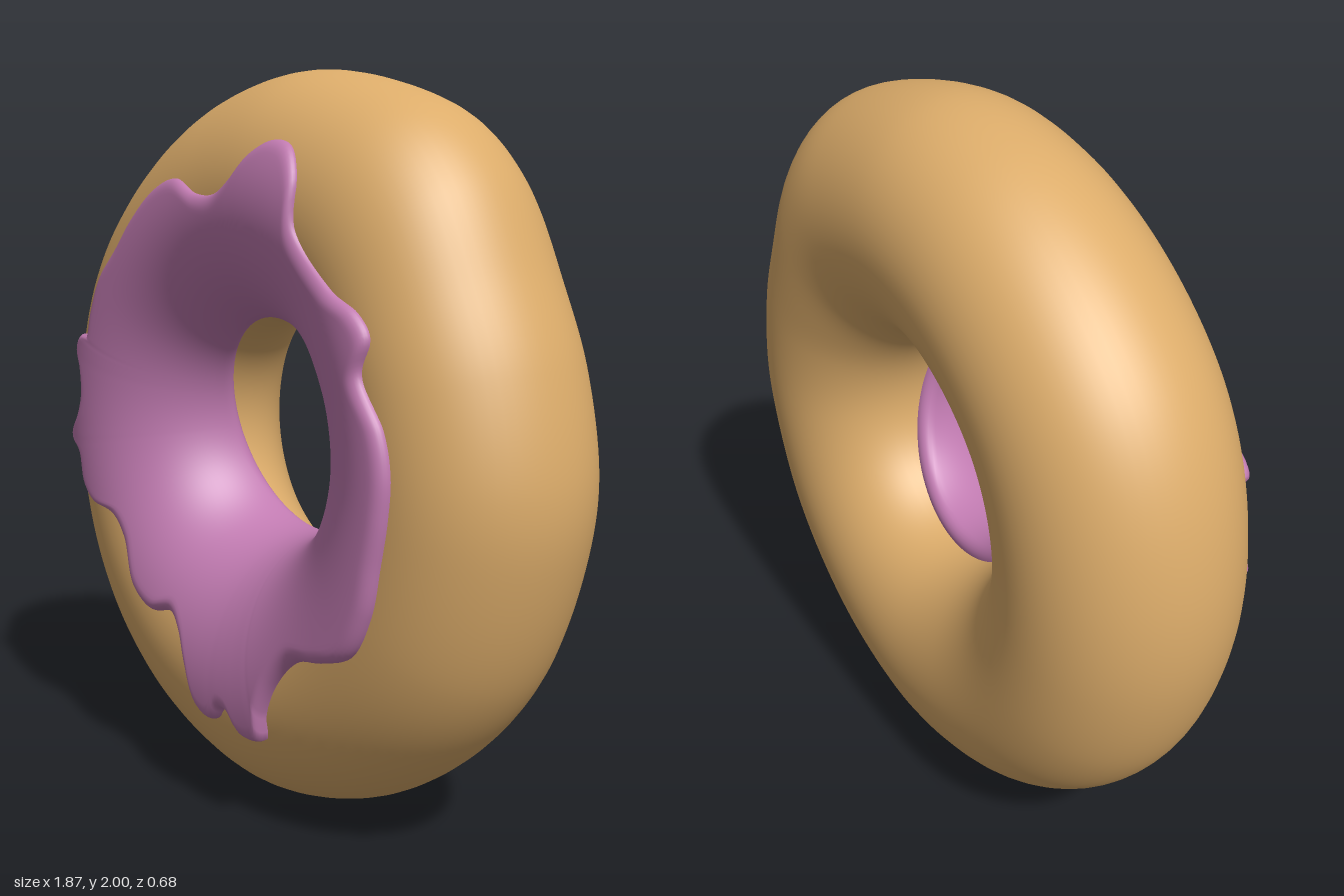
import * as THREE from 'three';

const CY = 1.05; // height of the hole's centre
const DEPTH = 0.31; // half thickness of the ring
const STEPS = 360;

// Outer contour of the dough, x/y pairs, anticlockwise
const DOUGH = [
  0.935, 1, 0.88, 1.285, 0.79, 1.5, 0.67, 1.735, 0.537, 1.868, 0.36, 1.945, 0.06, 2, -0.2, 1.963,
  -0.415, 1.873, -0.627, 1.72, -0.786, 1.54, -0.885, 1.328, -0.934, 1.05, -0.913, 0.783, -0.81, 0.49,
  -0.627, 0.254, -0.36, 0.08, 0, 0, 0.35, 0.08, 0.616, 0.254, 0.8, 0.48, 0.91, 0.783,
];

// Dripping edge of the icing, x/y pairs, anticlockwise
const DRIPS = [
  0.675, 1.05, 0.65, 1.15, 0.575, 1.27, 0.595, 1.355, 0.555, 1.41, 0.46, 1.46, 0.325, 1.59, 0.31, 1.72,
  0.26, 1.795, 0.195, 1.81, 0.125, 1.78, 0.06, 1.72, -0.01, 1.68, -0.09, 1.68, -0.2, 1.72, -0.31, 1.69,
  -0.415, 1.61, -0.495, 1.525, -0.585, 1.44, -0.63, 1.34, -0.655, 1.26, -0.695, 1.265, -0.74, 1.23,
  -0.7, 1.17, -0.685, 1.09, -0.71, 1.02, -0.77, 0.95, -0.7, 0.91, -0.67, 0.82, -0.615, 0.77, -0.52, 0.745,
  -0.46, 0.68, -0.395, 0.55, -0.31, 0.5, -0.225, 0.51, -0.16, 0.455, -0.11, 0.375, -0.055, 0.28,
  0, 0.265, 0.045, 0.31, 0.095, 0.305, 0.14, 0.26, 0.21, 0.27, 0.22, 0.335, 0.27, 0.44, 0.35, 0.52,
  0.46, 0.55, 0.555, 0.59, 0.62, 0.705, 0.65, 0.835, 0.67, 0.945,
];

// Turns a contour into radii measured around the hole's centre, one per step
function radii(flat) {
  const pts = [];
  for (let i = 0; i < flat.length; i += 2) pts.push(new THREE.Vector3(flat[i], flat[i + 1] - CY, 0));
  const polar = new THREE.CatmullRomCurve3(pts, true).getPoints(1200)
    .map((p) => ({ a: (Math.atan2(p.y, p.x) + 2 * Math.PI) % (2 * Math.PI), r: Math.hypot(p.x, p.y) }))
    .sort((p, q) => p.a - q.a);
  const first = polar[0], last = polar[polar.length - 1];
  polar.unshift({ a: last.a - 2 * Math.PI, r: last.r });
  polar.push({ a: first.a + 2 * Math.PI, r: first.r });
  const out = [];
  let k = 0;
  for (let i = 0; i < STEPS; i++) {
    const a = (i / STEPS) * 2 * Math.PI;
    while (polar[k + 1].a < a) k++;
    const p = polar[k], q = polar[k + 1];
    out.push(THREE.MathUtils.lerp(p.r, q.r, (a - p.a) / Math.max(q.a - p.a, 1e-6)));
  }
  return out;
}

// Smooth surface around the ring; point(i, j) gives a vertex of cross-section i
function loft(cols, closed, point) {
  const pos = [], index = [];
  for (let i = 0; i < STEPS; i++) for (let j = 0; j < cols; j++) pos.push(...point(i, j));
  for (let i = 0; i < STEPS; i++) {
    const n = (i + 1) % STEPS;
    for (let j = 0; j < (closed ? cols : cols - 1); j++) {
      const m = (j + 1) % cols;
      const a = i * cols + j, b = n * cols + j, c = n * cols + m, d = i * cols + m;
      index.push(a, b, c, a, c, d);
    }
  }
  const geo = new THREE.BufferGeometry();
  geo.setAttribute('position', new THREE.Float32BufferAttribute(pos, 3));
  geo.setIndex(index);
  geo.computeVertexNormals();
  return geo;
}

export function createModel() {
  const group = new THREE.Group();
  group.name = 'doughnut';
  const outer = radii(DOUGH), edge = radii(DRIPS);

  // Centre radius and half width of the ring's cross-section
  const section = (i) => {
    const inner = 0.32 - 0.025 * Math.sin((i / STEPS) * 2 * Math.PI);
    return { rc: (outer[i] + inner) / 2, a: (outer[i] - inner) / 2 };
  };
  // Point at angle phi of the section (0 outside, 90 degrees front), raised by h
  const surface = (i, phi, h) => {
    const t = (i / STEPS) * 2 * Math.PI;
    const { rc, a } = section(i);
    const nr = Math.cos(phi) / a, nz = Math.sin(phi) / DEPTH, len = Math.hypot(nr, nz);
    const r = rc + a * Math.cos(phi) + (h * nr) / len;
    const y = CY + r * Math.sin(t);
    return [r * Math.cos(t), y, DEPTH * Math.sin(phi) + (h * nz) / len - 0.015 * y];
  };
  const add = (name, geo, color) => {
    const mesh = new THREE.Mesh(geo, new THREE.MeshStandardMaterial({ color }));
    mesh.name = name;
    group.add(mesh);
  };

  // Dough ring
  const sides = 64;
  add('dough', loft(sides, true, (i, j) => surface(i, (j / sides) * 2 * Math.PI, 0)), 0xdcac6a);

  // Icing: from the dripping edge over the front and into the hole, rounded at both ends
  const rows = 40;
  const icing = loft(rows + 1, false, (i, j) => {
    const up = Math.sin((i / STEPS) * 2 * Math.PI);
    const { rc, a } = section(i);
    const start = Math.acos(THREE.MathUtils.clamp((edge[i] - rc) / a, -1, 1));
    const end = THREE.MathUtils.degToRad(178 - 16 * up);
    const s = (1 - Math.cos((Math.PI * j) / rows)) / 2;
    const arc = (end - start) * DEPTH;
    const near = Math.min(Math.min(s, 1 - s) * arc / 0.035, 1);
    const h = (0.03 - 0.01 * up) * Math.sqrt(1 - (1 - near) ** 2) - 0.002 * (1 - near);
    return surface(i, start + s * (end - start), h);
  });
  add('icing', icing, 0xc07ab0);
  group.getObjectByName('icing').material.side = THREE.DoubleSide;
  return group;
}
